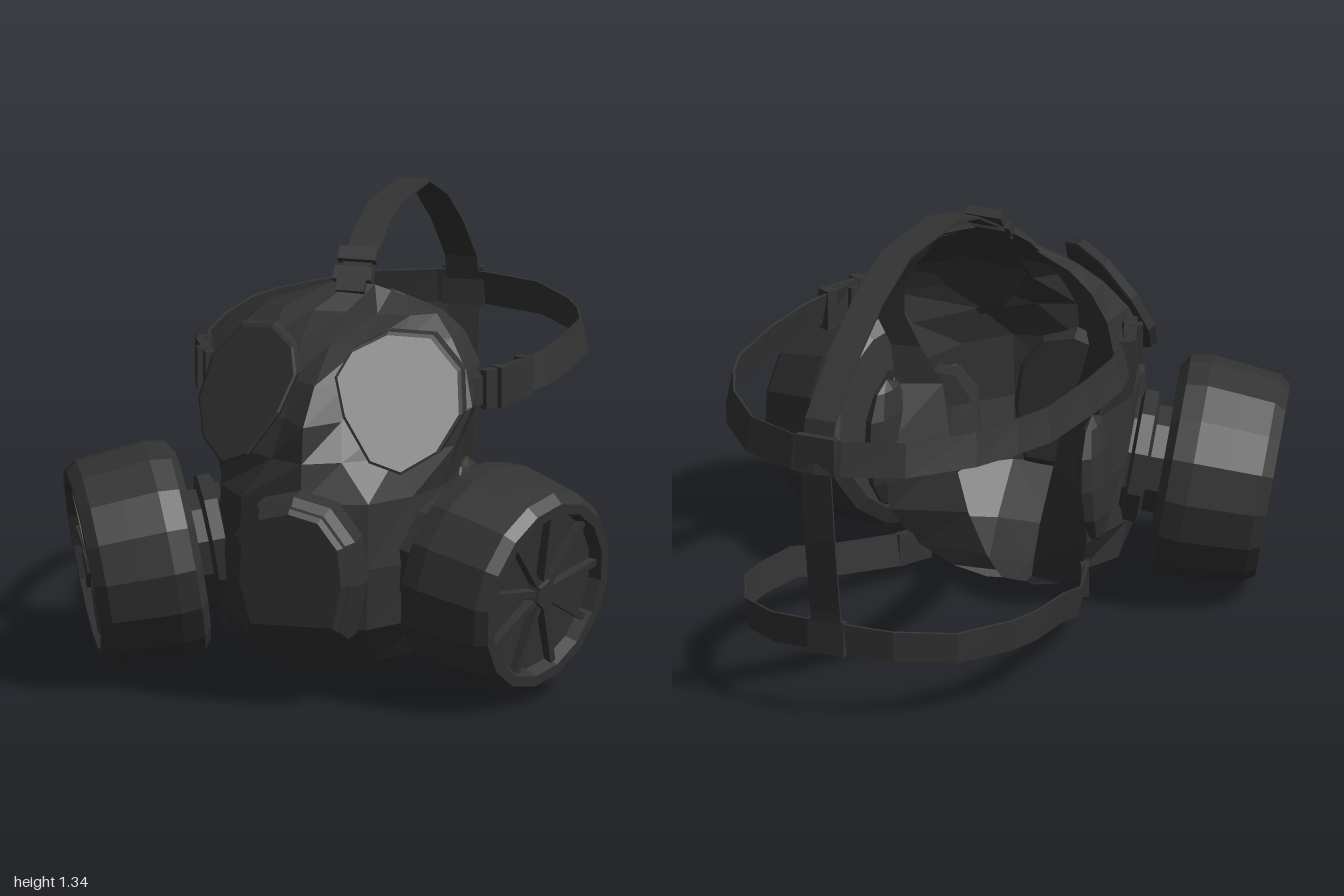
import * as THREE from 'three';

const rubber = new THREE.MeshStandardMaterial({ color: 0x333333, flatShading: true, side: THREE.DoubleSide });
rubber.name = 'dark rubber';
const V = (x, y, z) => new THREE.Vector3(x, y, z);
const up = V(0, 1, 0);

function part(name, geometry, parent) {
  const m = new THREE.Mesh(geometry, rubber);
  m.name = name;
  parent.add(m);
  return m;
}

// Skin through rows of points
function loft(rows) {
  const pos = [], idx = [], n = rows[0].length;
  rows.forEach(r => r.forEach(p => pos.push(p.x, p.y, p.z)));
  for (let i = 0; i < rows.length - 1; i++) {
    for (let j = 0; j < n - 1; j++) {
      const a = i * n + j, c = a + n;
      idx.push(a, c, a + 1, a + 1, c, c + 1);
    }
  }
  const g = new THREE.BufferGeometry();
  g.setAttribute('position', new THREE.Float32BufferAttribute(pos, 3));
  g.setIndex(idx);
  g.computeVertexNormals();
  return g;
}

// Flat band along a path; "across" is its width direction, "lean" tips its upper edge away from the head
function band(points, across, width, thick, lean = 0) {
  const rows = points.map((p, i) => {
    const t = points[Math.min(i + 1, points.length - 1)].clone().sub(points[Math.max(i - 1, 0)]).normalize();
    const w = across.clone().addScaledVector(V(p.x, 0, p.z).normalize(), lean);
    const n = t.clone().cross(w).normalize().multiplyScalar(thick / 2);
    const at = (a, b) => p.clone().addScaledVector(w, a * width / 2).addScaledVector(n, b);
    return [at(1, 1), at(-1, 1), at(-1, -1), at(1, -1), at(1, 1)];
  });
  const cap = r => r.map(() => r[0].clone().add(r[2]).multiplyScalar(0.5));
  return loft([cap(rows[0]), ...rows, cap(rows[rows.length - 1])]);
}

const outline = pts => pts.map(([x, y]) => new THREE.Vector2(x, y));
const scaled = (pts, cx, cy, s) => pts.map(([x, y]) => [cx + (x - cx) * s, cy + (y - cy) * s]);

// Extruded plate whose z is then moved by a rule of x and y
function plate(pts, hole, depth, bevel, zRule) {
  const shape = new THREE.Shape(outline(pts));
  if (hole) shape.holes.push(new THREE.Path(outline(hole)));
  const g = new THREE.ExtrudeGeometry(shape, {
    depth, bevelEnabled: bevel > 0, bevelSize: bevel, bevelThickness: bevel, bevelOffset: -bevel, bevelSegments: 1,
  });
  const p = g.attributes.position;
  for (let i = 0; i < p.count; i++) p.setZ(i, p.getZ(i) + zRule(p.getX(i), p.getY(i)));
  g.computeVertexNormals();
  return g;
}

// Half sections of the face piece: height, centre z, then x, z pairs to the inner seal
const faceRows = [
  [1.18, .27, .07, .27, .12, .265, .16, .25, .15, .24, .11, .25],
  [1.10, .34, .10, .35, .20, .34, .27, .29, .27, .23, .20, .25],
  [1.04, .52, .10, .50, .20, .44, .33, .34, .34, .23, .25, .25],
  [.95, .70, .09, .62, .24, .54, .39, .39, .39, .24, .30, .26],
  [.85, .83, .09, .72, .25, .62, .42, .43, .40, .26, .31, .28],
  [.74, .845, .11, .79, .25, .68, .38, .48, .36, .29, .27, .31],
  [.62, .86, .20, .81, .30, .67, .35, .50, .34, .28, .21, .34],
  [.42, .88, .20, .82, .33, .65, .36, .46, .35, .18, .17, .32],
  [.22, .84, .19, .79, .32, .63, .36, .44, .33, .22, .12, .33],
  [.08, .68, .17, .64, .28, .55, .34, .42, .27, .30, .08, .37],
  [.02, .50, .12, .48, .20, .44, .25, .40, .18, .35, .06, .40],
  [0, .40, .05, .40, .08, .40, .10, .39, .08, .38, .04, .40],
];

// Heights bend down across the crown and up across the chin
function bend(x, y) {
  if (y > 1.12) return y - 1.6 * x * x;
  return y < .3 ? y + .5 * x * x * (1 - y / .3) : y;
}

function facePiece() {
  return loft(faceRows.map(([y, z0, ...r]) => {
    const half = [];
    for (let i = 0; i < r.length; i += 2) half.push(V(r[i], bend(r[i], y), r[i + 1]));
    return [...half.map(p => V(-p.x, p.y, p.z)).reverse(), V(0, y, z0), ...half];
  }));
}

// Filter canister along +y, from its inner face to its grille
function canister() {
  const g = new THREE.Group();
  g.name = 'filterCanister';
  const profile = [[0, 0], [.29, 0], [.33, .025], [.34, .09], [.33, .2], [.32, .3], [.295, .335],
    [.262, .335], [.25, .295], [0, .285]];
  part('filterHousing', new THREE.LatheGeometry(outline(profile), 16), g);
  part('filterNeck', new THREE.LatheGeometry(
    outline([[.15, -.11], [.18, -.11], [.18, -.1], [.21, -.09], [.21, -.05], [.17, -.04], [.17, .01]]), 10), g);
  part('grilleHub', new THREE.CylinderGeometry(.045, .055, .04, 6), g).position.y = .31;
  for (let i = 0; i < 9; i++) {
    const a = i / 9 * Math.PI * 2;
    const spoke = part('grilleSpoke', new THREE.BoxGeometry(.22, .03, .022), g);
    spoke.position.set(Math.cos(a) * .15, .305, -Math.sin(a) * .15);
    spoke.rotation.y = a;
  }
  return g;
}

// Everything that repeats on each side, built for +x
function sideParts() {
  const g = new THREE.Group();

  // Eye lens and frame, lying on the slanted brow
  const eye = [[.06, .98], [.09, 1.05], [.18, 1.09], [.30, 1.07], [.39, .97], [.415, .85], [.37, .75], [.28, .70],
    [.19, .74], [.10, .87]];
  const slant = (x, y) => .565 - .75 * (x - .235) - .75 * (y - .91);
  part('eyeFrame', plate(eye, scaled(eye, .24, .9, .87), .045, .008, slant), g);
  part('eyeLens', plate(scaled(eye, .24, .9, .89), null, .03, 0, slant), g);

  // Filter, angled out and slightly down
  const axis = V(.91, -.17, .37).normalize();
  const can = canister();
  can.quaternion.setFromUnitVectors(up, axis);
  can.position.set(.725, .345, .685).addScaledVector(axis, -.33);
  g.add(can);

  // Cheek pad behind the filter
  const pad = part('cheekPad', new THREE.SphereGeometry(1, 9, 6), g);
  pad.scale.set(.045, .21, .12);
  pad.position.set(.345, .44, .25);
  pad.rotation.set(-.1, -.15, 0);

  // Temple buckle and its bars
  part('templeTab', band([V(.38, .88, .38), V(.43, .885, .31), V(.47, .885, .22)], up, .09, .03), g);
  part('templeBuckle', band([V(.43, .885, .34), V(.515, .885, .15)], up, .12, .025), g);
  for (const z of [.28, .14]) {
    const bar = part('buckleBar', new THREE.BoxGeometry(.045, .125, .035), g);
    bar.position.set(.535 - z * .25, .885, z);
    bar.rotation.y = -.45;
  }
  // Lower buckle at the jaw
  part('jawBuckle', band([V(.26, .1, .35), V(.315, .1, .24)], up, .1, .025), g);
  return g;
}

// Half path of a strap mirrored into a full loop around the head
const loop = pts => [...pts.map(p => V(...p)), ...pts.slice(0, -1).reverse().map(([x, y, z]) => V(-x, y, z))];

export function createModel() {
  const model = new THREE.Group();
  model.name = 'respirator';
  part('facePiece', facePiece(), model);

  // Exhaust valve on the snout
  const valve = [[-.14, .25], [.14, .25], [.175, .40], [.165, .52], [.10, .61], [0, .635], [-.10, .61], [-.165, .52],
    [-.175, .40]];
  const lean = base => (x, y) => base + (y - .45) * .1;
  part('valveCollar', plate(scaled(valve, 0, .46, 1.15), null, .09, .025, lean(.825)), model);
  part('valveCover', plate(valve, null, .06, .015, lean(.905)), model);

  // Left and right sides
  const left = sideParts();
  left.name = 'leftSide';
  const right = sideParts();
  right.name = 'rightSide';
  right.scale.x = -1;
  model.add(left, right);

  // Head straps
  const across = V(1, 0, 0);
  part('upperStrap', band(loop([[.48, .89, .22], [.53, .885, .02], [.54, .885, -.2], [.525, .88, -.45], [.48, .88, -.58],
    [.41, .875, -.72], [.26, .875, -.9], [.08, .875, -.975], [0, .875, -.985]]), up, .105, .008, -.22), model);
  part('lowerStrap', band(loop([[.3, .095, .27], [.41, .135, 0], [.45, .19, -.2], [.46, .205, -.4], [.445, .215, -.53],
    [.35, .225, -.73], [.2, .25, -.86], [.06, .265, -.9], [0, .265, -.905]]), up, .1, .008, .15), model);
  part('crownStrap', band([V(0, 1.22, .2), V(0, 1.3, .05), V(0, 1.337, -.1), V(0, 1.335, -.42), V(0, 1.25, -.62),
    V(0, 1.13, -.79), V(0, .98, -.95), V(0, .85, -.985), V(0, .6, -.955), V(0, .35, -.915), V(0, .21, -.9)],
    across, .1, .008), model);

  // Forehead buckle
  part('foreheadTab', band([V(0, 1.15, .3), V(0, 1.19, .27), V(0, 1.22, .2)], across, .09, .025), model);
  for (const [y, z] of [[1.195, .26], [1.245, .205]]) {
    const bar = part('foreheadBar', new THREE.BoxGeometry(.12, .045, .03), model);
    bar.position.set(0, y, z);
    bar.rotation.x = -.7;
  }
  // Joining loops at the back of the head
  part('backLoop', new THREE.BoxGeometry(.13, .12, .025), model).position.set(0, .88, -.98);
  part('napeLoop', new THREE.BoxGeometry(.12, .11, .025), model).position.set(0, .265, -.903);
  return model;
}
